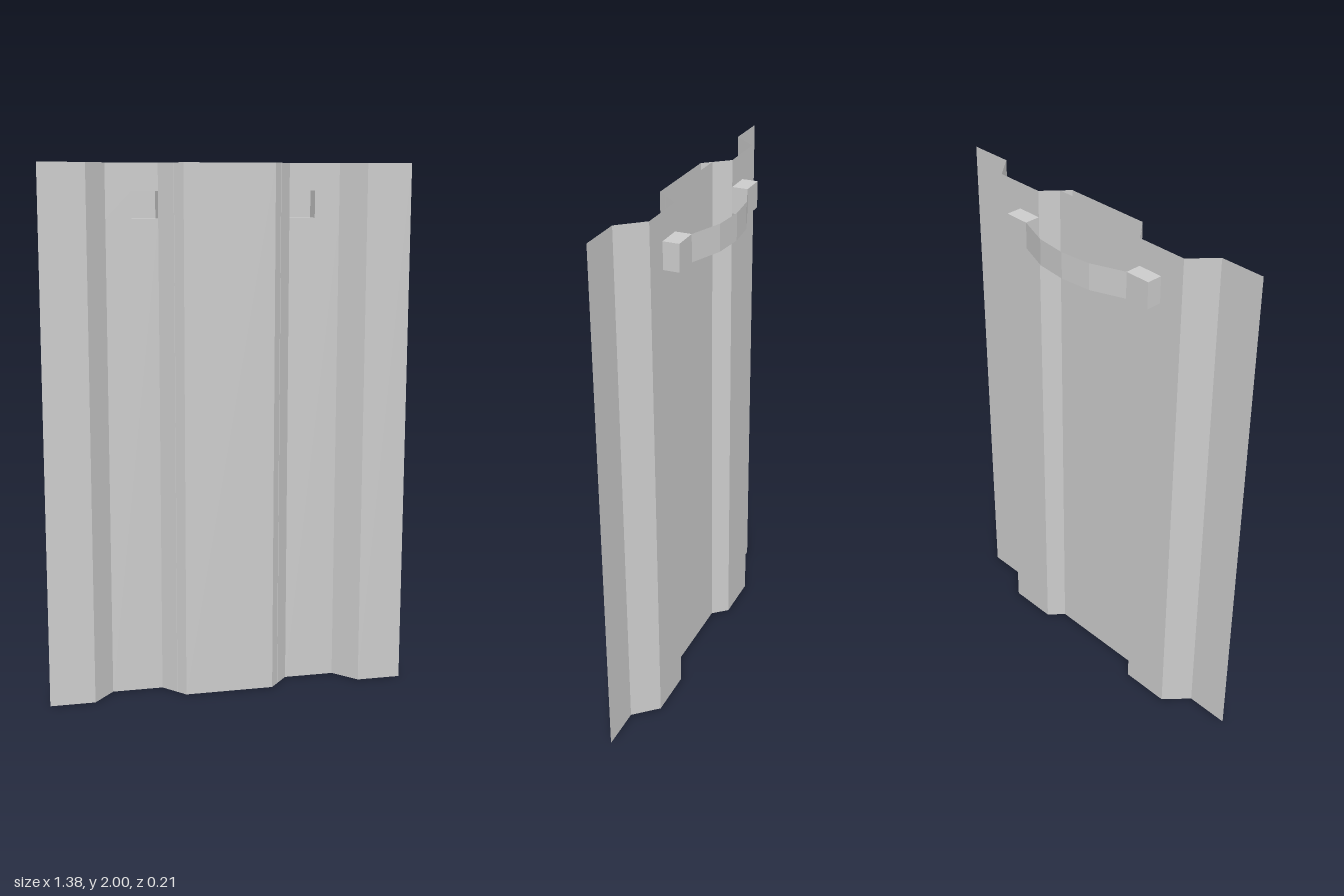
import * as THREE from 'three';

const HEIGHT = 2, SLOT_LOW = 1.8, SLOT_HIGH = 1.9;
const FRONT = 0.105, BACK = 0.015, POCKET = -0.045;
const SLOT_IN = 0.247, SLOT_OUT = 0.345;

const material = new THREE.MeshStandardMaterial({
  color: 0xcccccc, flatShading: true, side: THREE.DoubleSide,
});

// Upright sheet following [x, z] points between two heights
function ribbon(name, points, y0, y1) {
  const pos = [];
  for (let i = 0; i < points.length - 1; i++) {
    const [ax, az] = points[i], [bx, bz] = points[i + 1];
    pos.push(ax, y0, az, bx, y0, bz, bx, y1, bz);
    pos.push(ax, y0, az, bx, y1, bz, ax, y1, az);
  }
  const geo = new THREE.BufferGeometry();
  geo.setAttribute('position', new THREE.Float32BufferAttribute(pos, 3));
  geo.computeVertexNormals();
  const mesh = new THREE.Mesh(geo, material);
  mesh.name = name;
  return mesh;
}

// Points ordered left to right in x, so every sheet faces the front
const mirrored = (points, side) =>
  side > 0 ? points : points.map(([x, z]) => [-x, z]).reverse();

export function createModel() {
  const model = new THREE.Group();
  model.name = 'corrugatedPanel';

  // Raised centre, with a second stiffening sheet behind it
  model.add(ribbon('centrePanel', [[-0.17, FRONT], [0.17, FRONT]], 0, HEIGHT));
  model.add(ribbon('centreBacking', [[-0.2, 0.072], [0.2, 0.072]], 0, HEIGHT));

  for (const side of [1, -1]) {
    const label = side > 0 ? 'left' : 'right';
    const add = (name, points, y0, y1) =>
      model.add(ribbon(label + name, mirrored(points, side), y0, y1));

    // Sloped folds and outer flange
    add('InnerFold', [[0.17, FRONT], [SLOT_IN, BACK]], 0, HEIGHT);
    add('OuterFlange', [[0.44, BACK], [0.52, FRONT], [0.69, FRONT]], 0, HEIGHT);

    // Recessed channel, left open where the handle pocket sits
    const channel = [[SLOT_IN, BACK], [0.44, BACK]];
    add('ChannelLower', channel, 0, SLOT_LOW);
    add('ChannelUpper', channel, SLOT_HIGH, HEIGHT);
    add('ChannelBesidePocket', [[SLOT_OUT, BACK], [0.44, BACK]], SLOT_LOW, SLOT_HIGH);

    // Handle pocket, open towards the front
    add('PocketWalls', [[SLOT_IN, BACK], [SLOT_IN, POCKET],
      [SLOT_OUT, POCKET], [SLOT_OUT, BACK]], SLOT_LOW, SLOT_HIGH);
    for (const [y, name] of [[SLOT_LOW, 'PocketFloor'], [SLOT_HIGH, 'PocketRoof']]) {
      const cap = new THREE.Mesh(
        new THREE.PlaneGeometry(SLOT_OUT - SLOT_IN, BACK - POCKET).rotateX(-Math.PI / 2), material);
      cap.position.set(side * (SLOT_IN + SLOT_OUT) / 2, y, (BACK + POCKET) / 2);
      cap.name = label + name;
      model.add(cap);
    }
  }

  // Thin bowed grip joining the two pockets
  model.add(ribbon('handleStrap', [[-SLOT_IN, POCKET], [-0.12, -0.093], [0, -0.105],
    [0.12, -0.093], [SLOT_IN, POCKET]], SLOT_LOW, SLOT_HIGH));

  return model;
}
